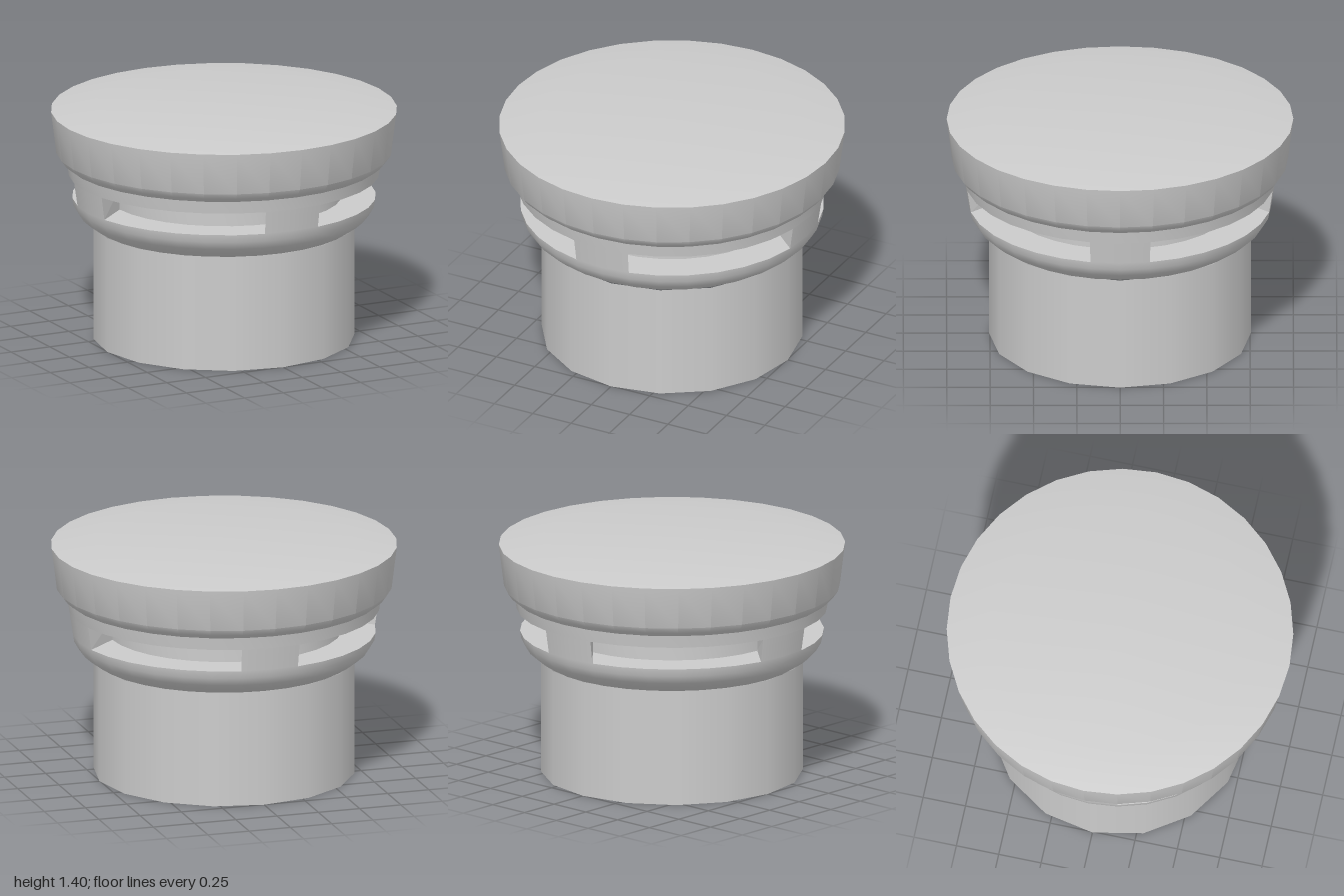
import * as THREE from 'three';
import { toCreasedNormals } from 'three/addons/utils/BufferGeometryUtils.js';

const SEGMENTS = 32;
const SLOT_BOTTOM = 0.845, SLOT_TOP = 0.98;
const R_BOTTOM = 0.877, R_TOP = 0.897; // collar skin radius at the slot edges
const CORE = 0.68;
const RIB_ANGLE = Math.PI / 16; // half the angle covered by a rib

const grey = new THREE.MeshStandardMaterial({ color: 0xcccccc });
const greyThin = new THREE.MeshStandardMaterial({ color: 0xcccccc, side: THREE.DoubleSide });

function mesh(name, geometry, material = grey) {
  const m = new THREE.Mesh(geometry, material);
  m.name = name;
  return m;
}

// Revolved profile of [radius, height] points, with sharp edges kept
function turned(profile) {
  const points = profile.map(([r, y]) => new THREE.Vector2(r, y));
  return toCreasedNormals(new THREE.LatheGeometry(points, SEGMENTS), 0.5);
}

// Upright walls of a rib, running from its outer edges to a point at the core
function ribWalls() {
  const s = Math.sin(RIB_ANGLE), c = Math.cos(RIB_ANGLE);
  const corner = (side) => (y, r) => [side * r * s, y, r * c];
  const tip = (y) => [0, y, CORE - 0.01];
  const pos = [];
  for (const [a, b] of [[corner(1), tip], [tip, corner(-1)]]) {
    const [p0, p1] = [a(SLOT_BOTTOM, R_BOTTOM), b(SLOT_BOTTOM, R_BOTTOM)];
    const [p2, p3] = [b(SLOT_TOP, R_TOP), a(SLOT_TOP, R_TOP)];
    pos.push(...p0, ...p1, ...p2, ...p0, ...p2, ...p3);
  }
  const g = new THREE.BufferGeometry();
  g.setAttribute('position', new THREE.Float32BufferAttribute(pos, 3));
  g.computeVertexNormals();
  return g;
}

export function createModel() {
  const model = new THREE.Group();
  model.name = 'ventCap';

  // Open, thin-walled pipe
  const pipe = new THREE.CylinderGeometry(0.755, 0.755, 0.68, 16, 1, true);
  pipe.translate(0, 0.34, 0);
  model.add(mesh('pipe', pipe, greyThin));

  // Collar with a recessed ring behind the slots
  model.add(mesh('collar', turned([
    [0, 0.77], [0.7, 0.77], [0.7, 0.68], [0.745, 0.68],
    [0.8, 0.715], [0.84, 0.75], [0.87, 0.8], [R_BOTTOM, SLOT_BOTTOM],
    [CORE, SLOT_BOTTOM], [CORE, SLOT_TOP],
    [R_TOP, SLOT_TOP], [0.91, 1.07],
  ])));

  // Four ribs that divide the ring into slots
  const skin = new THREE.LatheGeometry(
    [new THREE.Vector2(R_BOTTOM, SLOT_BOTTOM), new THREE.Vector2(R_TOP, SLOT_TOP)],
    2, -RIB_ANGLE, 2 * RIB_ANGLE);
  const walls = ribWalls();
  for (let i = 0; i < 4; i++) {
    const rib = new THREE.Group();
    rib.name = 'rib';
    rib.add(mesh('ribSkin', skin), mesh('ribWalls', walls));
    rib.rotation.y = i * Math.PI / 2;
    model.add(rib);
  }

  // Wide cap with a very shallow crown
  model.add(mesh('cap', turned([
    [0, 1.055], [0.915, 1.055], [0.945, 1.08], [0.97, 1.115],
    [1, 1.36], [0.75, 1.395], [0, 1.4],
  ])));

  return model;
}
